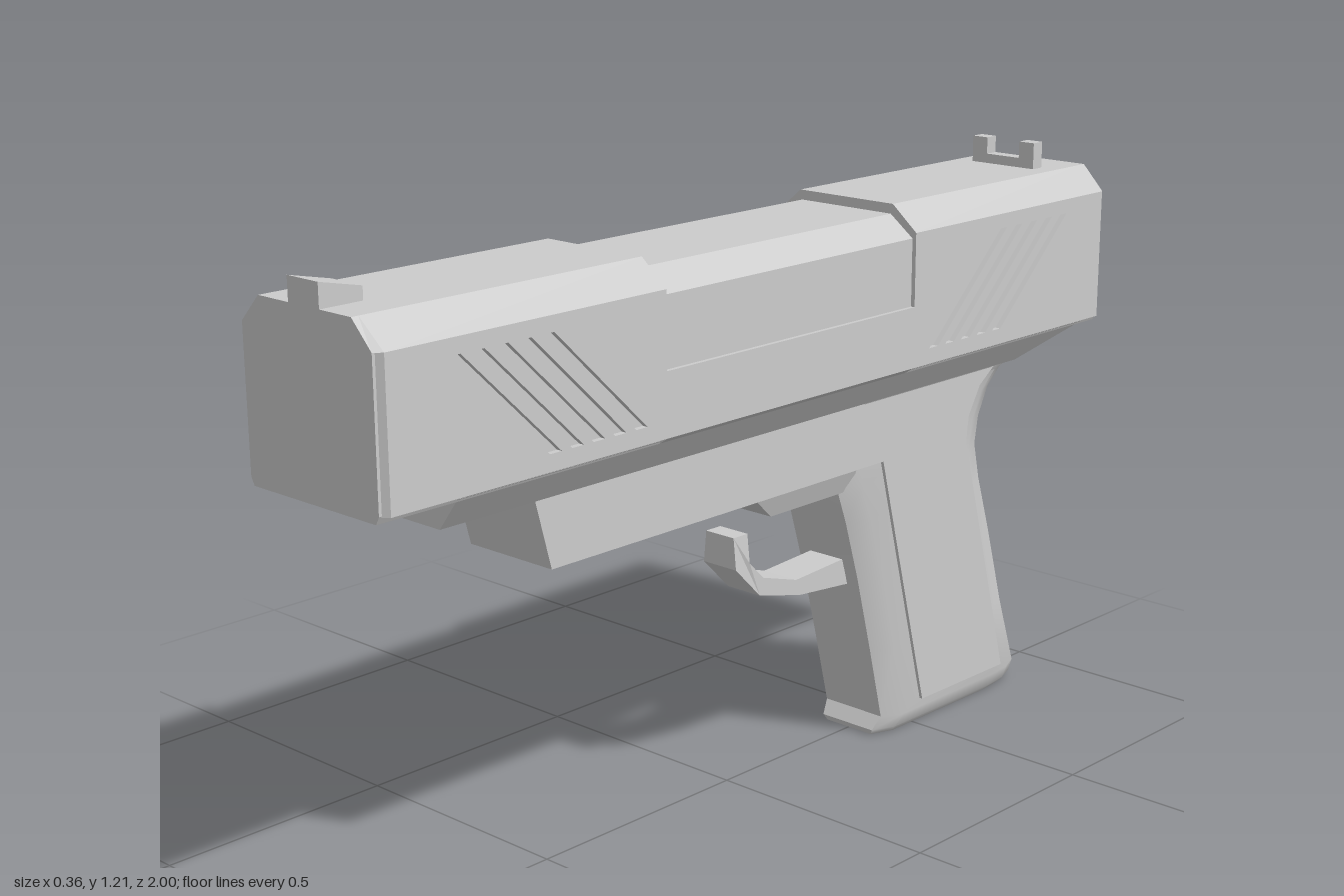
import * as THREE from 'three';
import { toCreasedNormals } from 'three/addons/utils/BufferGeometryUtils.js';

const material = new THREE.MeshStandardMaterial({ color: 0xcccccc, side: THREE.DoubleSide });

const toShape = (pts) => new THREE.Shape(pts.map(([a, b]) => new THREE.Vector2(a, b)));

// Moves every vertex by a rule, then refreshes the normals
function reshape(geo, rule) {
  const p = geo.attributes.position;
  const v = new THREE.Vector3();
  for (let i = 0; i < p.count; i++) {
    v.fromBufferAttribute(p, i);
    rule(v);
    p.setXYZ(i, v.x, v.y, v.z);
  }
  geo.computeVertexNormals();
  return geo;
}

// Side outline given as (z, y), extruded across x and centred at x
function sideExtrude(pts, width, x = 0, holes = []) {
  const shape = toShape(pts);
  holes.forEach((h) => shape.holes.push(toShape(h)));
  const geo = new THREE.ExtrudeGeometry(shape, { depth: width, bevelEnabled: false });
  return geo.translate(0, 0, -width / 2).rotateY(-Math.PI / 2).translate(x, 0, 0);
}

// Half cross-section (x, y) from top to bottom, mirrored and run from z0 to z1
function sectionExtrude(half, z0, z1, steps = 1) {
  const mirrored = half.map(([x, y]) => [-x, y]).reverse();
  const geo = new THREE.ExtrudeGeometry(toShape([...half, ...mirrored]), {
    depth: z1 - z0, steps, bevelEnabled: false,
  });
  return geo.translate(0, 0, z0);
}

// Grip shell lofted through levels of [y, front z, back z, half width]
function gripGeometry() {
  const levels = [
    [0, -0.385, -0.885, 0.08], [0.012, -0.38, -0.898, 0.09], [0.04, -0.4, -0.9, 0.1],
    [0.2, -0.36, -0.845, 0.1], [0.37, -0.315, -0.795, 0.1], [0.5, -0.275, -0.753, 0.1],
    [0.58, -0.245, -0.735, 0.1], [0.64, -0.24, -0.745, 0.1], [0.7, -0.24, -0.775, 0.1],
    [0.74, -0.24, -0.82, 0.1], [0.775, -0.24, -0.9, 0.12], [0.815, -0.24, -0.955, 0.15],
  ];
  const pos = [];
  const index = [];
  let n = 0;
  for (const [y, f, b, w] of levels) {
    const half = [[0.75 * w, f], [w, f - 0.05], [w, b + 0.14], [0.93 * w, b + 0.08],
      [0.75 * w, b + 0.035], [0.42 * w, b + 0.008]];
    const ring = [...half, [0, b], ...half.map(([x, z]) => [-x, z]).reverse()];
    n = ring.length;
    ring.forEach(([x, z]) => pos.push(x, y, z));
  }
  for (let j = 0; j < levels.length - 1; j++) {
    for (let i = 0; i < n; i++) {
      const a = j * n + i;
      const b = j * n + ((i + 1) % n);
      index.push(a, b + n, b, a, a + n, b + n);
    }
  }
  // flip so that faces look outward
  index.reverse();
  for (let i = 0; i < index.length; i += 3) [index[i], index[i + 1]] = [index[i + 1], index[i]];
  for (let i = 0; i < index.length; i += 3) [index[i], index[i + 1]] = [index[i + 1], index[i]];
  const geo = new THREE.BufferGeometry();
  geo.setAttribute('position', new THREE.Float32BufferAttribute(pos, 3));
  geo.setIndex(index);
  return toCreasedNormals(geo, 0.75);
}

export function createModel() {
  const model = new THREE.Group();
  model.name = 'pistol';
  const add = (name, geo, parent = model) => {
    const mesh = new THREE.Mesh(geo, material);
    mesh.name = name;
    parent.add(mesh);
    return mesh;
  };

  // Slide: front and rear blocks with slanted grooves in their side plates
  const slide = new THREE.Group();
  slide.name = 'slide';
  model.add(slide);
  const endHalf = [[0.12, 1.15], [0.18, 1.1], [0.168, 1.1], [0.168, 0.83], [0.16, 0.815]];
  for (const s of [1, -1]) {
    const label = s > 0 ? 'front' : 'rear';
    const z0 = s > 0 ? 0.35 : -1;
    add(label + 'SlideBlock', reshape(sectionExtrude(endHalf, z0, z0 + 0.65, 2), (v) => {
      const a = Math.abs(v.z);
      if (a > 0.99) v.x = THREE.MathUtils.clamp(v.x, -0.168, 0.168);
      else if (a > 0.5) v.z = s * 0.985;
    }), slide);

    const grooves = [];
    for (let i = 0; i < 5; i++) {
      const z = 0.4 + i * 0.052;
      grooves.push([[s * z, 0.86], [s * (z + 0.028), 0.86],
        [s * (z + 0.248), 1.07], [s * (z + 0.22), 1.07]]);
    }
    const plate = [[s * 0.35, 0.828], [s, 0.828], [s, 1.1], [s * 0.35, 1.1]];
    for (const side of [1, -1]) {
      add(label + 'GroovedPlate', reshape(sideExtrude(plate, 0.02, side * 0.17, grooves), (v) => {
        if (Math.abs(v.x) > 0.175 && Math.abs(v.z) > 0.99) v.z = s * 0.985;
      }), slide);
    }
  }

  // Slide middle with recessed top and upper sides
  add('slideMiddle', sectionExtrude([[0.115, 1.13], [0.171, 1.088], [0.171, 0.952], [0.18, 0.952],
    [0.18, 0.828], [0.16, 0.815]], -0.35, 0.35), slide);

  // Sights
  add('frontSight', sideExtrude([[0.91, 1.14], [1, 1.14], [1, 1.195], [0.91, 1.175]], 0.08));
  const rearSight = [[-0.08, 1.14], [0.08, 1.14], [0.08, 1.205], [0.042, 1.205],
    [0.042, 1.17], [-0.042, 1.17], [-0.042, 1.205], [-0.08, 1.205]];
  add('rearSight', new THREE.ExtrudeGeometry(toShape(rearSight), { depth: 0.03, bevelEnabled: false })
    .translate(0, 0, -0.9));

  // Frame rail, sloping up at the tail
  add('frameRail', reshape(sectionExtrude([[0.163, 0.82], [0.115, 0.757]], -0.95, 0.83), (v) => {
    if (v.z < -0.9 && v.y < 0.8) v.z = -0.78;
  }));

  // Lower frame and the tapered block above the trigger
  add('lowerFrame', sideExtrude([[0.61, 0.77], [0.57, 0.62], [-0.63, 0.62], [-0.635, 0.66],
    [-0.67, 0.72], [-0.74, 0.77]], 0.214));
  add('triggerHousing', reshape(sideExtrude([[0.03, 0.625], [-0.04, 0.57], [-0.28, 0.57],
    [-0.28, 0.625]], 0.2), (v) => {
    if (v.y < 0.6) v.x *= 0.8;
  }));

  // Trigger hook
  add('trigger', reshape(sideExtrude([[0.02, 0.53], [-0.02, 0.53], [-0.02, 0.47], [-0.06, 0.43],
    [-0.16, 0.4], [-0.33, 0.41], [-0.33, 0.35], [-0.17, 0.365], [-0.05, 0.395], [0.02, 0.465]],
  0.086), (v) => {
    if (v.y > 0.5) v.x *= 0.85;
  }));

  // Hollow grip with a raised panel on each side
  add('grip', gripGeometry());
  for (const side of [1, -1]) {
    add('gripPanel', sideExtrude([[-0.35, 0.63], [-0.5, 0.06], [-0.78, 0.06], [-0.63, 0.6],
      [-0.63, 0.63]], 0.01, side * 0.102));
  }
  return model;
}
